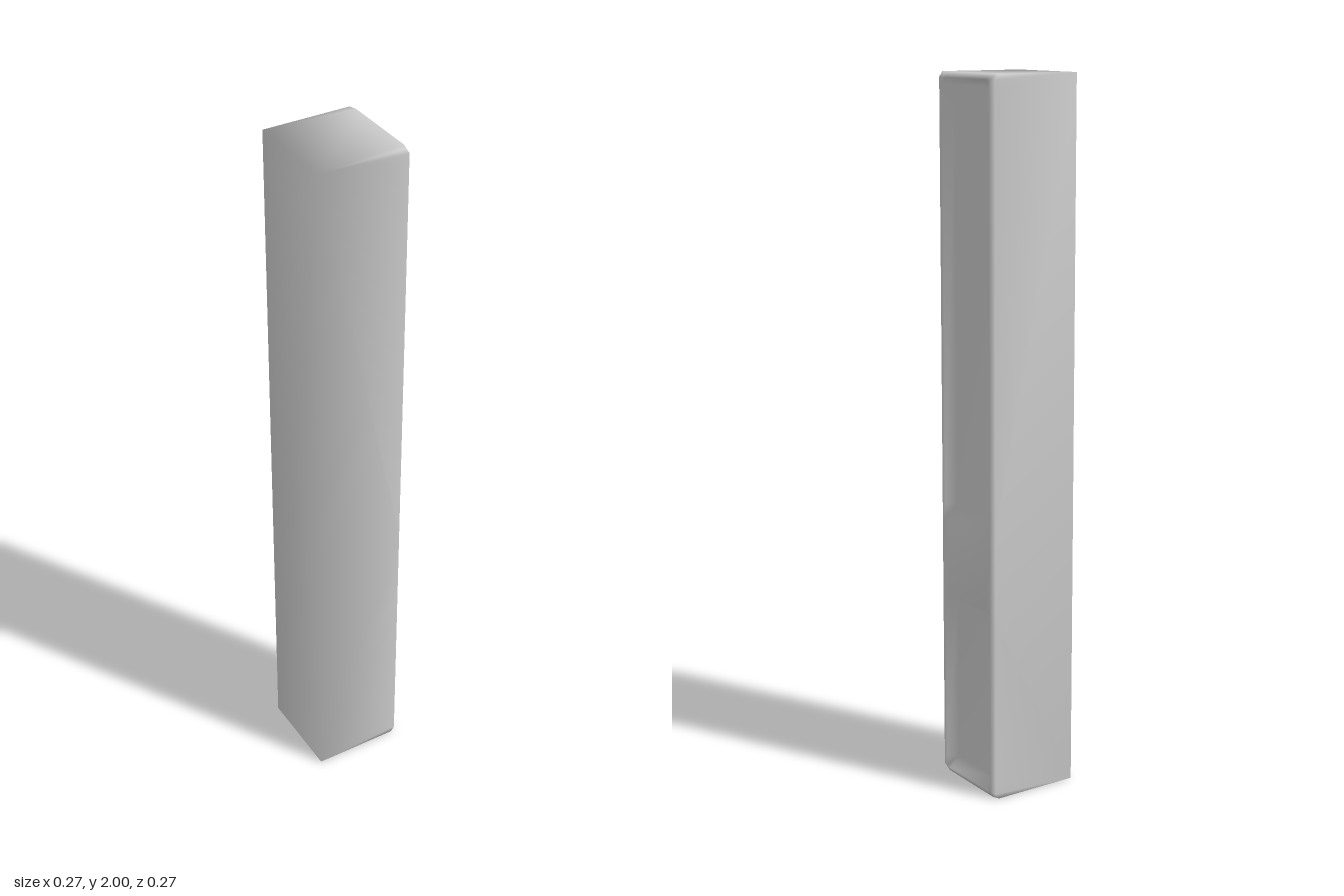
import * as THREE from 'three';

const H = 0.133;
// Grid lines of the panelled side: rim and panel-floor levels
const ys = [0, 0.015, 0.045, 0.52, 0.55, 0.765, 0.805, 1.965, 1.985, 2];
const zs = [H, 0.112, 0.095, -0.095, -0.112, -H];
const floorRows = [2, 3, 6, 7];

// Depth of the panelled side at a grid point
function depth(i, j) {
  const end = i === 0 || i === ys.length - 1;
  const outer = j === 0 || j === zs.length - 1;
  if (end) return outer ? 0.118 : 0.125;
  if (outer) return 0.128;
  const inPanel = floorRows.includes(i) && (j === 2 || j === 3);
  return inPanel ? 0.103 : H;
}

function postGeometry() {
  const pos = [], idx = [];
  const nz = zs.length, lastRow = ys.length - 1, lastCol = nz - 1;
  const g = (i, j) => i * nz + j;

  // Panelled side with two recesses and a plain band between them
  ys.forEach((y, i) => zs.forEach((z, j) => pos.push(depth(i, j), y, z)));
  for (let i = 0; i < lastRow; i++) {
    for (let j = 0; j < lastCol; j++) {
      const a = g(i, j), b = g(i, j + 1), c = g(i + 1, j + 1), d = g(i + 1, j);
      idx.push(a, b, c, a, c, d);
    }
  }

  // Four corners of the plain opposite side
  const n = pos.length / 3;
  pos.push(-H, 0, H, -H, 0, -H, -H, 2, -H, -H, 2, H);
  const [lowFront, lowBack, topBack, topFront] = [n, n + 1, n + 2, n + 3];
  idx.push(lowBack, lowFront, topFront, lowBack, topFront, topBack);

  // Flat face joining a grid border to the plain edge a-b
  function joinFace(border, a, b, split) {
    for (let k = 0; k < border.length - 1; k++) {
      idx.push(k < split ? a : b, border[k], border[k + 1]);
    }
    idx.push(a, border[split], b);
  }
  const column = (j) => ys.map((_, i) => g(i, j));
  const row = (i) => zs.map((_, j) => g(i, j));
  joinFace(column(0), lowFront, topFront, 5);
  joinFace(column(lastCol).reverse(), topBack, lowBack, 4);
  joinFace(row(lastRow), topFront, topBack, 3);
  joinFace(row(0).reverse(), lowBack, lowFront, 3);

  const geo = new THREE.BufferGeometry();
  geo.setAttribute('position', new THREE.Float32BufferAttribute(pos, 3));
  geo.setIndex(idx);
  geo.computeVertexNormals(); // soft shading across the shared corners
  return geo;
}

export function createModel() {
  const group = new THREE.Group();
  group.name = 'panelledPost';
  const post = new THREE.Mesh(
    postGeometry(),
    new THREE.MeshStandardMaterial({ color: 0xcccccc })
  );
  post.name = 'post';
  group.add(post);
  return group;
}
